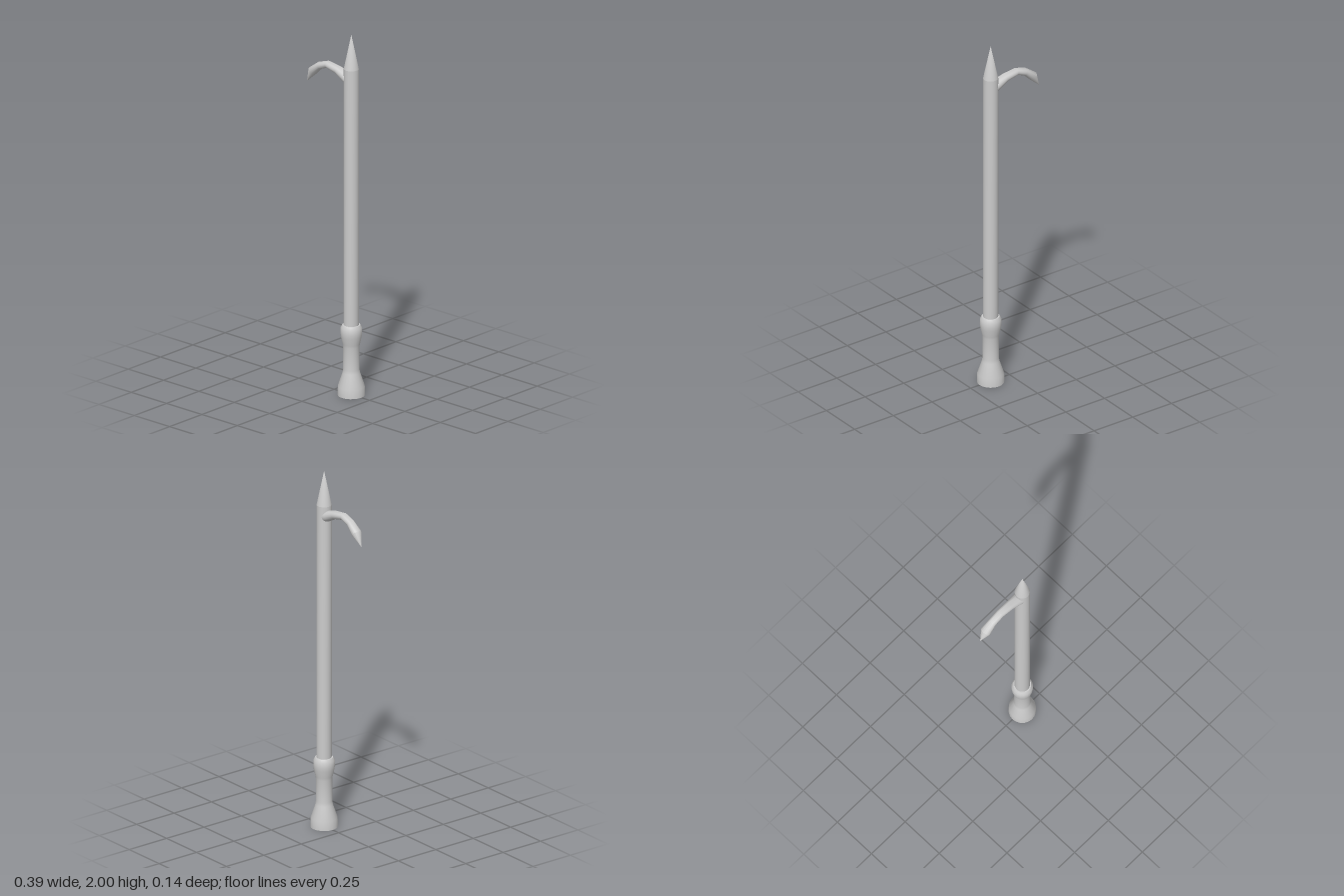
import * as THREE from 'three';
import { toCreasedNormals } from 'three/addons/utils/BufferGeometryUtils.js';

const AXIS_X = 0.121;
const material = new THREE.MeshStandardMaterial({ color: 0xcccccc });

function addPart(group, name, geometry, crease = 0.6) {
  const mesh = new THREE.Mesh(toCreasedNormals(geometry, crease), material);
  mesh.name = name;
  group.add(mesh);
  return mesh;
}

function turned(profile, sides) {
  return new THREE.LatheGeometry(profile.map(([r, y]) => new THREE.Vector2(r, y)), sides);
}

// Oval rings set square to a path in the xy plane: [x, y, half height, half depth]
function ovalSweep(stations, sides) {
  const positions = [];
  const indices = [];
  stations.forEach(([x, y, h, d], i) => {
    const a = stations[Math.max(i - 1, 0)];
    const b = stations[Math.min(i + 1, stations.length - 1)];
    const length = Math.hypot(b[0] - a[0], b[1] - a[1]);
    const nx = (b[1] - a[1]) / length;
    const ny = -(b[0] - a[0]) / length;
    for (let j = 0; j < sides; j++) {
      const t = (j / sides) * Math.PI * 2;
      positions.push(x + nx * h * Math.cos(t), y + ny * h * Math.cos(t), d * Math.sin(t));
    }
  });
  for (let i = 0; i < stations.length - 1; i++) {
    for (let j = 0; j < sides; j++) {
      const a = i * sides + j;
      const b = i * sides + ((j + 1) % sides);
      indices.push(a, a + sides, b, b, a + sides, b + sides);
    }
  }
  const geometry = new THREE.BufferGeometry();
  geometry.setAttribute('position', new THREE.Float32BufferAttribute(positions, 3));
  geometry.setIndex(indices);
  return geometry;
}

export function createModel() {
  const group = new THREE.Group();
  group.name = 'pikePole';

  // Flared grip with a rounded collar at the top
  addPart(group, 'handle', turned([
    [0, 0], [0.072, 0], [0.071, 0.05], [0.046, 0.125], [0.043, 0.145],
    [0.043, 0.27], [0.046, 0.285], [0.055, 0.325], [0.057, 0.345],
    [0.056, 0.375], [0.047, 0.39], [0, 0.39],
  ], 20)).position.x = AXIS_X;

  // Long straight pole
  const shaft = addPart(group, 'shaft', new THREE.CylinderGeometry(0.04, 0.04, 1.44, 20));
  shaft.position.set(AXIS_X, 1.09, 0);

  // Smooth spike on top of the pole
  const spike = addPart(group, 'spike', new THREE.ConeGeometry(0.04, 0.19, 20, 1, true), Math.PI);
  spike.position.set(AXIS_X, 1.905, 0);

  // Curved side hook, swelling near its end and closing in a sharp point
  addPart(group, 'hook', ovalSweep([
    [0.1, 1.752, 0.031, 0.034],
    [0.08, 1.76, 0.028, 0.032],
    [0.027, 1.782, 0.022, 0.026],
    [-0.045, 1.795, 0.019, 0.023],
    [-0.1, 1.776, 0.02, 0.023],
    [-0.15, 1.735, 0.025, 0.029],
    [-0.192, 1.668, 0.0005, 0.0005],
  ], 16), 0.7);

  return group;
}
